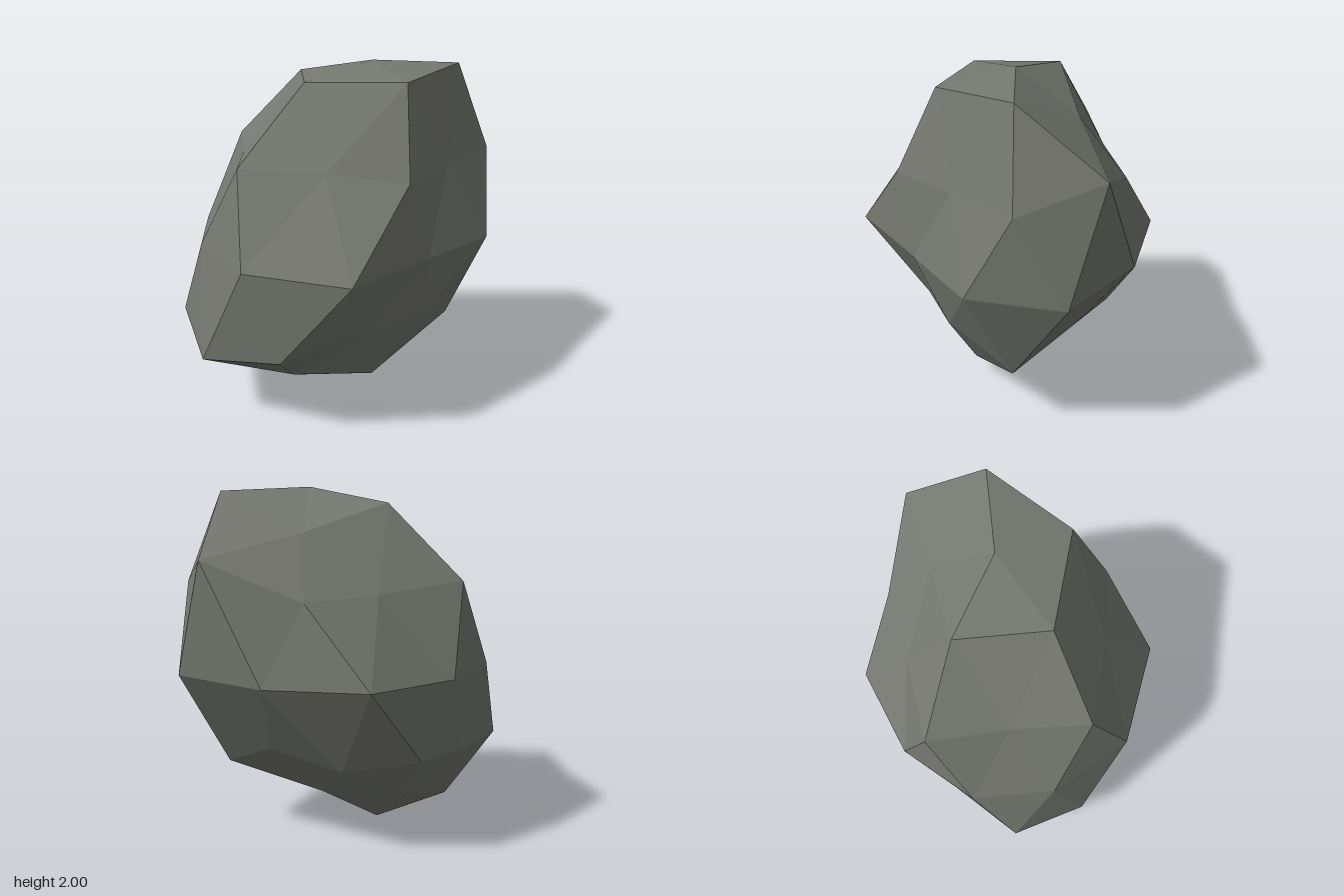
import * as THREE from 'three';

const stone = new THREE.MeshStandardMaterial({ color: 0x757870, flatShading: true });
stone.name = 'greyStone';

// Stretch and lean of the boulder around its core
const CORE = new THREE.Vector3(0, 1.02, -0.05);
const STRETCH_Y = 1.2, STRETCH_Z = 0.89, LEAN = 0.2;

// Unit-sphere direction scaled by r, then stretched and sheared sideways
function chip(flat, up, degrees, r) {
  const a = THREE.MathUtils.degToRad(degrees);
  const y = up * r * STRETCH_Y;
  return new THREE.Vector3(
    flat * Math.cos(a) * r + LEAN * y,
    y,
    flat * Math.sin(a) * r * STRETCH_Z
  ).add(CORE);
}

// Rings of a once-divided icosahedron, each with its chipped radii.
// Ten-sided upper and lower rings alternate between corners and edge midpoints.
function createBoulder() {
  const corner = [0.8944, 0.4472], middle = [0.8507, 0.5257], cap = [0.5257, 0.8507];
  const ring = (radii, start, step, shape) => radii.map((r, i) => {
    const [flat, up] = shape(i);
    return chip(flat, up, start + i * step, r);
  });
  const down = ([flat, up]) => [flat, -up];

  const top = chip(0, 1, 0, 0.817);
  const topCap = ring([0.94, 0.895, 0.88, 0.88, 0.735], 0, 72, () => cap);
  const upper = ring([0.88, 0.71, 0.825, 0.765, 0.905, 0.745, 0.92, 0.70, 0.78, 0.99],
    0, 36, (i) => (i % 2 ? middle : corner));
  const waist = ring([0.89, 0.76, 1.01, 0.935, 0.83, 0.83, 0.825, 0.90, 0.89, 0.99],
    18, 36, () => [1, 0]);
  const lower = ring([0.95, 0.78, 0.73, 0.95, 0.985, 0.94, 0.77, 0.82, 0.78, 0.76],
    0, 36, (i) => down(i % 2 ? corner : middle));
  const bottomCap = ring([0.865, 0.785, 0.875, 0.74, 0.73], 36, 72, () => down(cap));
  const bottom = chip(0, -1, 0, 0.85);

  const points = [];
  const face = (...corners) => corners.forEach((p) => points.push(p));

  // Top and bottom caps
  for (let k = 0; k < 5; k++) {
    const n = (k + 1) % 5;
    const u0 = upper[2 * k], u1 = upper[2 * k + 1], u2 = upper[2 * n];
    face(top, topCap[n], topCap[k]);
    face(topCap[k], u1, u0);
    face(topCap[k], topCap[n], u1);
    face(topCap[n], u2, u1);

    const l0 = lower[2 * k + 1], l1 = lower[(2 * k + 2) % 10], l2 = lower[(2 * k + 3) % 10];
    face(bottom, bottomCap[k], bottomCap[n]);
    face(bottomCap[k], l0, l1);
    face(bottomCap[k], l1, bottomCap[n]);
    face(bottomCap[n], l1, l2);
  }

  // Bands above and below the waist
  for (let j = 0; j < 10; j++) {
    const n = (j + 1) % 10;
    face(upper[j], upper[n], waist[j]);
    face(upper[n], waist[n], waist[j]);
    face(waist[j], lower[n], lower[j]);
    face(waist[j], waist[n], lower[n]);
  }

  const geometry = new THREE.BufferGeometry().setFromPoints(points);
  geometry.computeVertexNormals();
  const mesh = new THREE.Mesh(geometry, stone);
  mesh.name = 'boulder';
  return mesh;
}

export function createModel() {
  const model = new THREE.Group();
  model.name = 'rock';
  model.add(createBoulder());
  return model;
}
